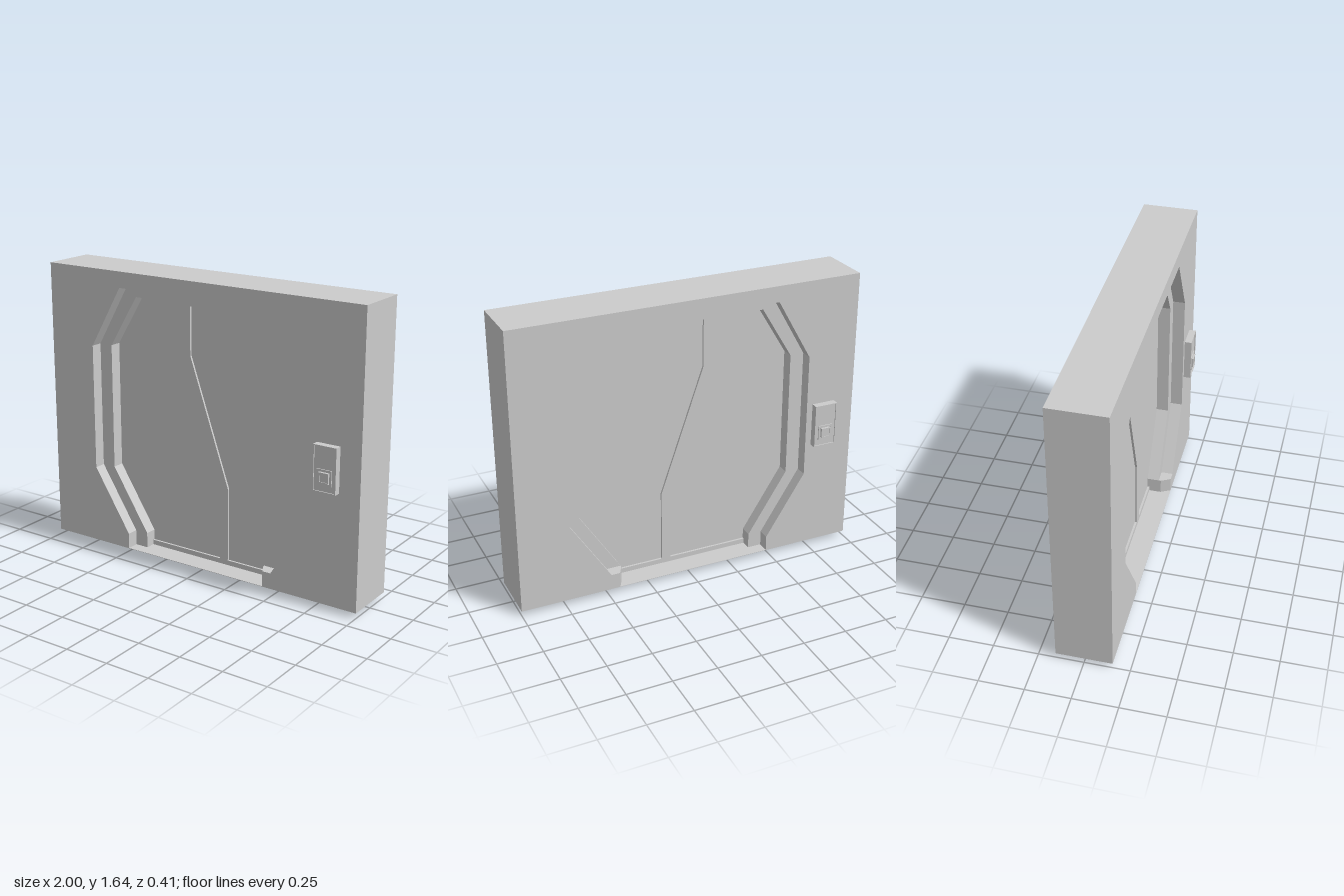
import * as THREE from 'three';

const material = new THREE.MeshStandardMaterial({ color: 0xcccccc, flatShading: true });

// Half outlines of the doorway, from bottom to top; mirrored to make the opening
const OUTER = [[0.48, 0.03], [0.48, 0.12], [0.71, 0.48], [0.71, 1.2], [0.51, 1.55]];
const INNER = [[0.4, 0.03], [0.4, 0.12], [0.63, 0.48], [0.63, 1.2], [0.45, 1.495]];

const opening = (half) => [...half, ...half.map(([x, y]) => [-x, y]).reverse()];
const toShape = (points) => new THREE.Shape(points.map(([x, y]) => new THREE.Vector2(x, y)));

function add(parent, name, geometry) {
  const mesh = new THREE.Mesh(geometry, material);
  mesh.name = name;
  parent.add(mesh);
  return mesh;
}

// Extrude a shape along z from z0 to z1
function slab(parent, name, shape, z0, z1) {
  const geometry = new THREE.ExtrudeGeometry(shape, { depth: z1 - z0, bevelEnabled: false });
  return add(parent, name, geometry.translate(0, 0, z0));
}

function box(parent, name, x0, x1, y0, y1, z0, z1) {
  const geometry = new THREE.BoxGeometry(x1 - x0, y1 - y0, z1 - z0);
  return add(parent, name, geometry.translate((x0 + x1) / 2, (y0 + y1) / 2, (z0 + z1) / 2));
}

// Wall layer with the doorway cut up from its bottom edge
function wallShape(half) {
  return toShape([[1, 0.03], [1, 1.64], [-1, 1.64], [-1, 0.03], ...opening(half).reverse()]);
}

// Rectangle with a rectangular hole, both centred on cx, cy
function frameShape(cx, cy, w, h, rim) {
  const rect = (a, b) => [[cx - a, cy - b], [cx + a, cy - b], [cx + a, cy + b], [cx - a, cy + b]];
  const shape = toShape(rect(w / 2, h / 2));
  shape.holes.push(toShape(rect(w / 2 - rim, h / 2 - rim)));
  return shape;
}

function controlPanel() {
  const panel = new THREE.Group();
  box(panel, 'panelBody', 0.745, 0.88, 0.66, 0.91, 0.15, 0.189);
  slab(panel, 'panelRim', frameShape(0.8125, 0.785, 0.135, 0.25, 0.006), 0.189, 0.195);
  slab(panel, 'buttonSurround', frameShape(0.8125, 0.742, 0.086, 0.086, 0.012), 0.189, 0.195);
  slab(panel, 'buttonRim', frameShape(0.8125, 0.742, 0.056, 0.056, 0.006), 0.189, 0.203);
  box(panel, 'button', 0.79, 0.835, 0.72, 0.764, 0.189, 0.2);
  return panel;
}

export function createModel() {
  const model = new THREE.Group();
  model.name = 'slidingDoorWall';

  // Wall: wide opening at front and back, narrower one in the middle
  slab(model, 'wallFront', wallShape(OUTER), 0.087, 0.155);
  slab(model, 'wallMiddle', wallShape(INNER), -0.087, 0.087);
  slab(model, 'wallBack', wallShape(OUTER), -0.155, -0.087);
  box(model, 'threshold', -0.48, 0.48, 0.03, 0.032, -0.155, 0.155);

  // Chamfered block filling one bottom corner of the doorway
  const plan = [[0.4, 0.1], [0.43, 0.155], [0.48, 0.155], [0.48, -0.155], [0.43, -0.155], [0.4, -0.1]];
  const block = slab(model, 'cornerBlock', toShape(plan), 0.03, 0.12);
  block.geometry.rotateX(-Math.PI / 2);

  // Door: recessed leaves with raised rails and a cranked strip at the seam
  const door = new THREE.Group();
  door.name = 'door';
  model.add(door);
  slab(door, 'doorLeaves', toShape(opening(INNER)), -0.018, 0.018);
  box(door, 'bottomRail', -0.4, 0.4, 0, 0.06, -0.03, 0.03);
  box(door, 'topRail', -0.455, 0.455, 1.472, 1.495, -0.03, 0.03);
  const seam = [[0.095, 0.05], [0.095, 0.48], [-0.155, 1.2], [-0.155, 1.49]];
  const shift = (d) => seam.map(([x, y]) => [x + d, y]);
  slab(door, 'seamStrip', toShape([...shift(0.027), ...shift(-0.027).reverse()]), -0.03, 0.03);

  // One control panel per side, turned half round for the back
  ['frontControlPanel', 'backControlPanel'].forEach((name, i) => {
    const panel = controlPanel();
    panel.name = name;
    panel.rotation.y = i * Math.PI;
    model.add(panel);
  });
  return model;
}
